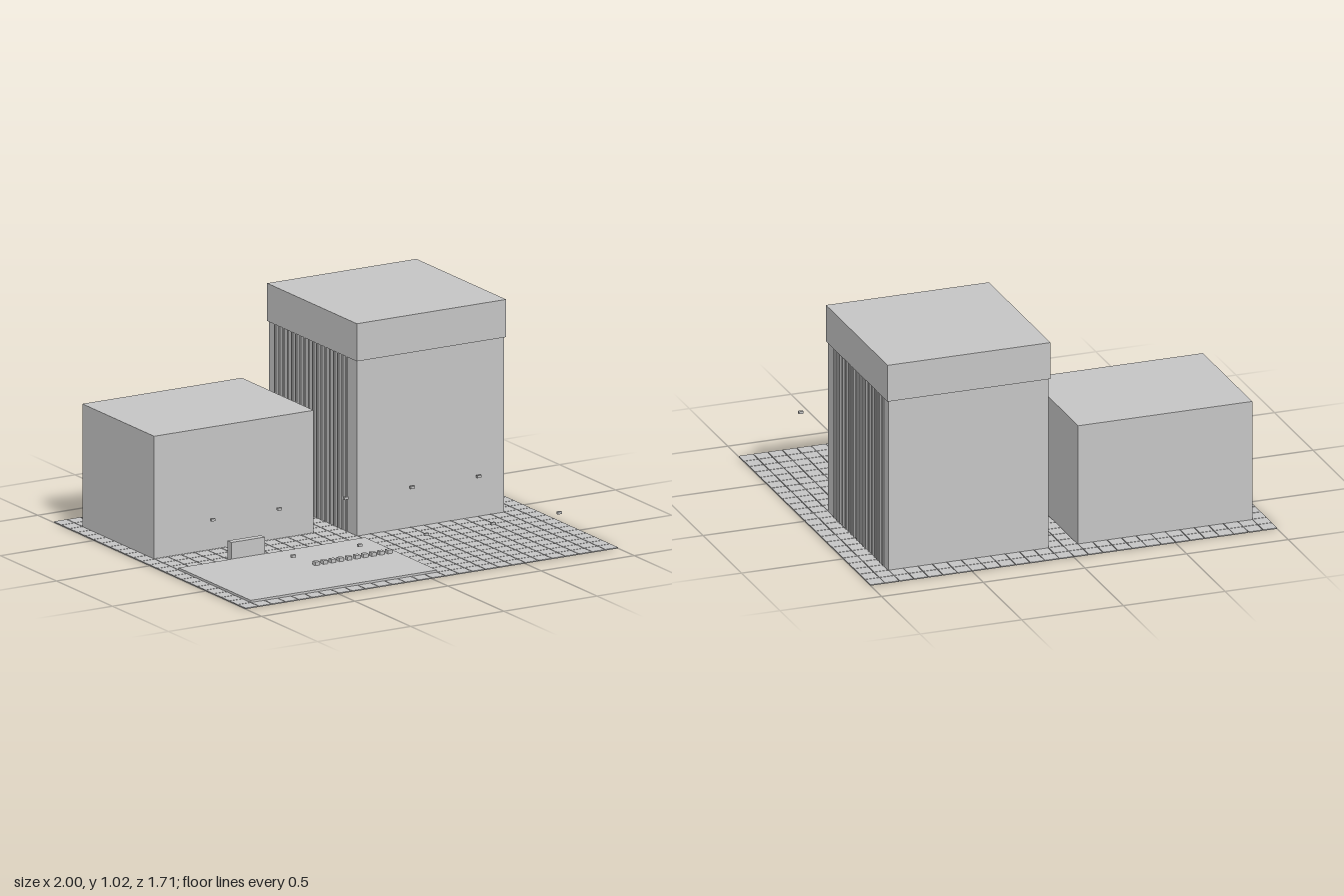
import * as THREE from 'three';
import { mergeGeometries } from 'three/addons/utils/BufferGeometryUtils.js';

export function createModel() {
  const root = new THREE.Group();
  root.name = 'plaza';
  const concrete = new THREE.MeshStandardMaterial({ color: 0xc4c4c4 });
  concrete.name = 'concrete grey';

  // box given by its minimum and maximum corners
  const block = (x0, x1, y0, y1, z0, z1) =>
    new THREE.BoxGeometry(x1 - x0, y1 - y0, z1 - z0)
      .translate((x0 + x1) / 2, (y0 + y1) / 2, (z0 + z1) / 2);
  const add = (name, geometries, parent = root) => {
    const mesh = new THREE.Mesh(mergeGeometries(geometries), concrete);
    mesh.name = name;
    parent.add(mesh);
  };

  // paving: separate square slabs with narrow joints
  const pitch = 2 / 27.95, half = pitch * 0.475, floor = 0.005;
  const slabs = [];
  for (let i = 0; i < 28; i++) {
    for (let j = 0; j < 24; j++) {
      const x = (i - 13.5) * pitch, z = (j - 11.5) * pitch;
      slabs.push(block(x - half, x + half, 0, floor, z - half, z + half));
    }
  }
  add('pavingSlabs', slabs);

  // raised court and low building
  add('raisedCourt', [block(-0.93, 0.07, floor, 0.015, 0.142, 0.788)]);
  add('lowBuilding', [block(-0.929, -0.073, floor, 0.59, -0.72, -0.078)]);

  // tower with vertical fins on both flanks and an overhanging crown
  const tower = new THREE.Group();
  tower.name = 'tower';
  root.add(tower);
  add('towerBody', [block(0.0705, 0.859, floor, 0.845, -0.714, 0.0715)], tower);
  add('towerCrown', [block(0.064, 0.865, 0.842, 1.022, -0.722, 0.08)], tower);
  const fins = [];
  for (let i = 0; i < 18; i++) {
    const z = -0.019 - i * 0.0375;
    for (const x of [0.0685, 0.861]) {
      fins.push(block(x - 0.0035, x + 0.0035, floor, 0.843, z - 0.0035, z + 0.0035));
    }
  }
  add('towerFins', fins, tower);

  // entrance wall
  add('signWall', [block(-0.643, -0.464, floor, 0.093, 0.102, 0.138)]);

  // row of bollards on the court
  const bollards = [];
  for (let i = 0; i < 10; i++) {
    const x = -0.361 + i * 0.0433;
    bollards.push(block(x - 0.0125, x + 0.0125, 0.01, 0.032, 0.412, 0.437));
  }
  add('bollards', bollards);

  // two rows of hanging lamps
  const lamps = [];
  for (const z of [0.088, 0.806]) {
    for (let i = -2; i <= 2; i++) {
      const x = i * 0.357;
      lamps.push(block(x - 0.011, x + 0.011, 0.194, 0.206, z - 0.007, z + 0.007));
    }
  }
  add('lamps', lamps);

  return root;
}
